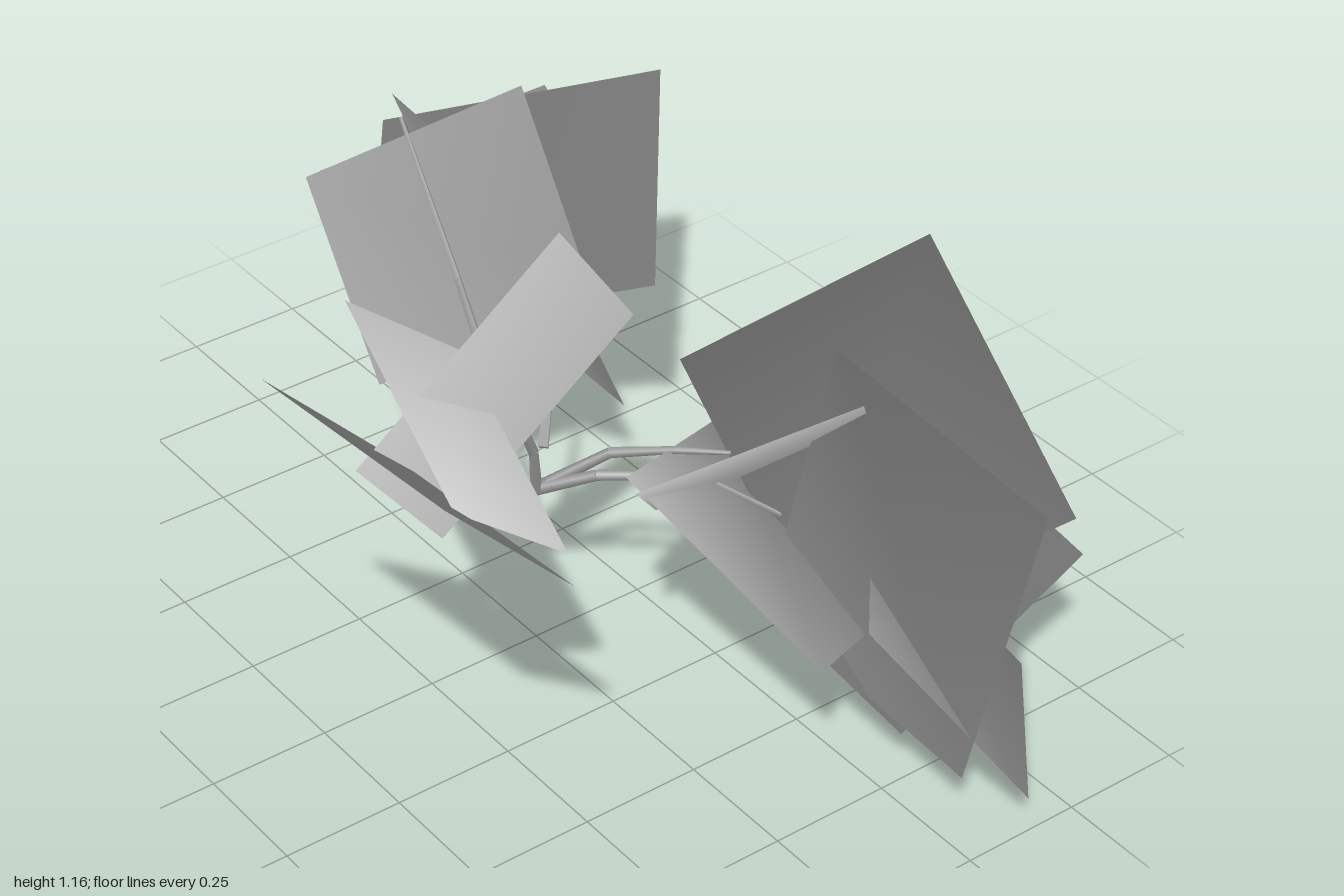
import * as THREE from 'three';

const leafGray = new THREE.MeshStandardMaterial({ color: 0xaeaeae, side: THREE.DoubleSide });
leafGray.name = 'leafGray';

// heart of the plant: every leaf faces away from it
const heart = new THREE.Vector3(0, 0.3, 0);

// flat four-sided leaf from three neighbouring corners, shaded as part of a round crown
function leaf(name, a, b, c) {
  let corners = [a, b, c, a.map((v, i) => v + c[i] - b[i])].map(q => new THREE.Vector3(...q));
  const middle = corners[0].clone().add(corners[2]).multiplyScalar(0.5);
  const face = corners[1].clone().sub(corners[0]).cross(corners[2].clone().sub(corners[1]));
  if (face.dot(middle.sub(heart)) < 0) corners.reverse();
  const normals = corners.map(p => p.clone().sub(heart).normalize());
  const g = new THREE.BufferGeometry();
  g.setAttribute('position', new THREE.Float32BufferAttribute(corners.flatMap(p => p.toArray()), 3));
  g.setAttribute('normal', new THREE.Float32BufferAttribute(normals.flatMap(n => n.toArray()), 3));
  g.setIndex([0, 1, 2, 0, 2, 3]);
  const m = new THREE.Mesh(g, leafGray);
  m.name = name;
  return m;
}

// tapering four-sided twig: one cone section per pair of points
function twig(name, points, radius = 0.014) {
  const group = new THREE.Group();
  group.name = name;
  const p = points.map(q => new THREE.Vector3(...q));
  const n = p.length - 1;
  for (let i = 0; i < n; i++) {
    const dir = p[i + 1].clone().sub(p[i]);
    const r0 = radius * (1 - 0.7 * i / n), r1 = radius * (1 - 0.7 * (i + 1) / n);
    const m = new THREE.Mesh(new THREE.CylinderGeometry(r1, r0, dir.length(), 4), leafGray);
    m.position.copy(p[i]).addScaledVector(dir, 0.5);
    m.quaternion.setFromUnitVectors(new THREE.Vector3(0, 1, 0), dir.normalize());
    m.name = name + 'Section';
    group.add(m);
  }
  return group;
}

export function createModel() {
  const model = new THREE.Group();
  model.name = 'leafyBranch';

  const leaves = {
    // right cluster
    rightLeaf: [
      [[-0.70, 0.845, -0.16], [-0.21, 0.68, -0.04], [-0.27, 0.225, -0.42]],
      [[-1.0, 0.51, -0.175], [-0.835, 0.635, -0.635], [-0.345, 0.495, -0.545]],
      [[-0.585, 0.752, -0.745], [-0.19, 0.556, -0.43], [-0.595, 0.387, -0.015]],
    ],
    // single upright leaf
    upperLeaf: [
      [[-0.32, 1.03, -0.2], [-0.107, 0.675, -0.21], [-0.17, 0.605, 0.24]],
    ],
    // front cluster
    frontLeaf: [
      [[0.305, 1.165, 0.175], [0.165, 0.81, -0.1], [0.16, 0.485, 0.33]],
      [[0.23, 1.05, 0.743], [0.705, 1.04, 0.70], [0.67, 0.73, 0.41]],
      [[0.16, 1.085, 0.525], [0.085, 0.82, 0.23], [0.49, 0.635, 0.29]],
    ],
    // left cluster
    leftLeaf: [
      [[0.41, 0.75, -0.385], [0.965, 0.69, -0.405], [0.91, 0.11, -0.30]],
      [[0.63, 0.0, -0.71], [1.0, 0.08, -0.385], [0.755, 0.40, -0.19]],
      [[0.045, 0.385, -0.43], [0.305, 0.575, 0.02], [0.735, 0.34, -0.10]],
      [[0.745, 0.33, -0.73], [0.35, 0.49, -0.65], [0.345, 0.26, -0.22]],
      [[0.59, 0.765, -0.295], [0.435, 0.65, 0.10], [0.18, 0.35, -0.15]],
      [[0.805, 0.49, -0.64], [0.405, 0.92, -0.60], [0.08, 0.59, -0.28]],
    ],
  };
  for (const [name, list] of Object.entries(leaves))
    list.forEach((q, i) => model.add(leaf(name + (i + 1), ...q)));

  // twigs carrying the clusters
  model.add(
    twig('rightTwig', [[-0.10, 0.36, -0.09], [-0.14, 0.42, -0.13], [-0.22, 0.46, -0.2], [-0.46, 0.505, -0.27]]),
    twig('upperTwig', [[-0.08, 0.36, 0], [-0.11, 0.54, 0.02], [-0.19, 0.76, 0.045], [-0.375, 1.02, 0.04]]),
    twig('frontTwig', [[0, 0.36, 0], [0.06, 0.5, 0.05], [0.14, 0.71, 0.16], [0.2, 0.79, 0.33]]),
    twig('leftTwig', [[0, 0.36, 0], [0.1, 0.42, -0.07], [0.25, 0.45, -0.2], [0.38, 0.31, -0.39]]),
    twig('leftUpperTwig', [[0, 0.36, -0.01], [0.1, 0.46, -0.1], [0.21, 0.5, -0.17], [0.3, 0.52, -0.23]]),
  );
  return model;
}
